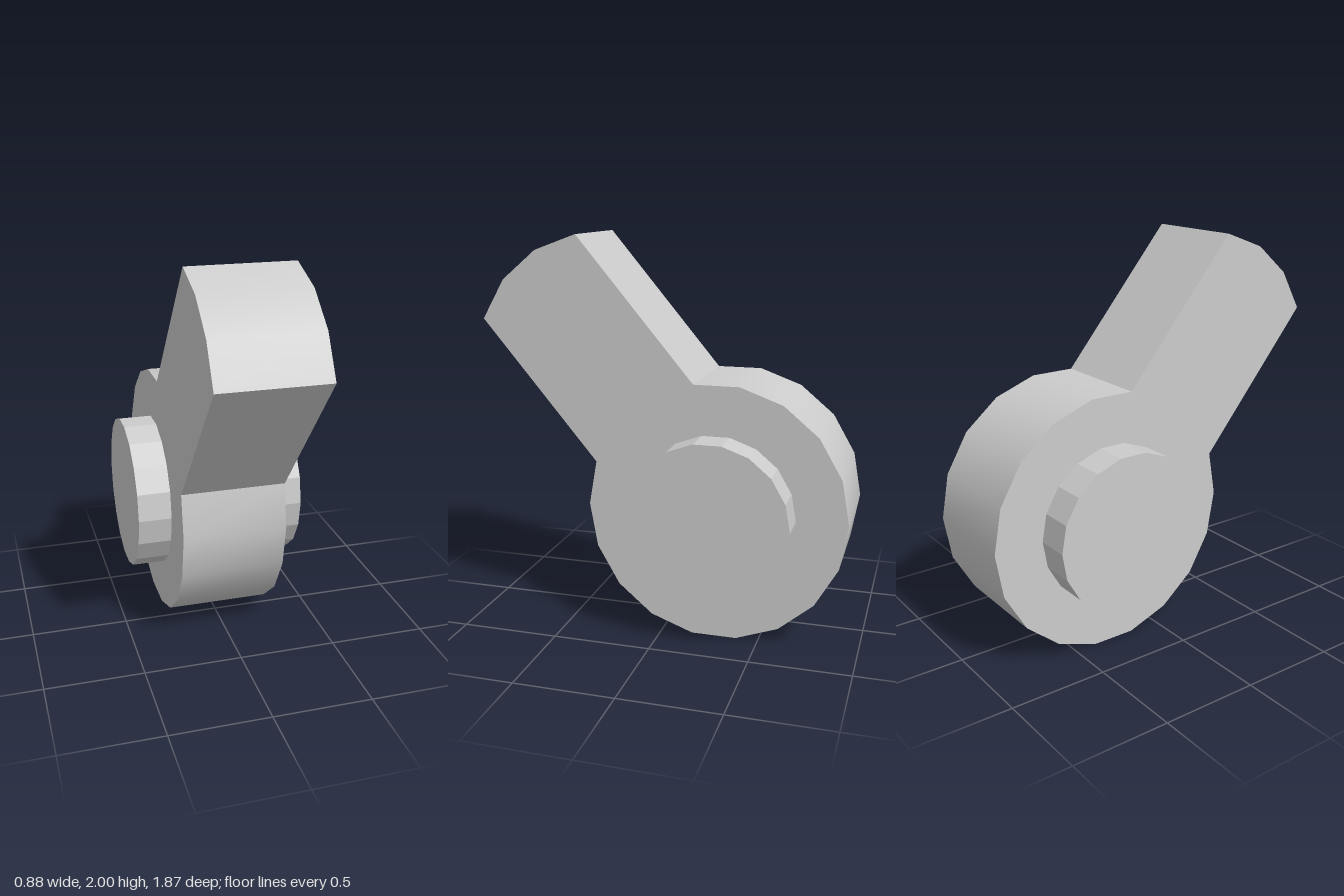
import * as THREE from 'three';
import { toCreasedNormals } from 'three/addons/utils/BufferGeometryUtils.js';

const SEGMENTS = 18;
const STEP = (Math.PI * 2) / SEGMENTS;
const HUB = { z: -0.273, y: 0.648, radius: 0.658 };
const ARM = { angle: THREE.MathUtils.degToRad(50), reach: 0.919 };
const BODY_WIDTH = 0.532;
const PIN_RADIUS = 0.403;
const PIN_LENGTH = 0.875;

// Rim points of the hub circle from step a to step b, slid along the arm by shift
function rimPoints(a, b, shift) {
  const points = [];
  for (let i = a; i <= b; i++) {
    points.push(new THREE.Vector2(
      HUB.z + HUB.radius * Math.cos(i * STEP) + shift * Math.cos(ARM.angle),
      HUB.y + HUB.radius * Math.sin(i * STEP) + shift * Math.sin(ARM.angle)
    ));
  }
  return points;
}

export function createModel() {
  const group = new THREE.Group();
  group.name = 'leverWithPin';
  const smooth = new THREE.MeshStandardMaterial({ color: 0xcccccc });
  const faceted = new THREE.MeshStandardMaterial({ color: 0xcccccc, flatShading: true });

  // Lever: the round hub and the arm with its rounded end, in one outline
  const outline = new THREE.Shape([
    ...rimPoints(4, SEGMENTS + 1, 0),
    ...rimPoints(1, 4, ARM.reach),
  ]);
  const leverGeometry = new THREE.ExtrudeGeometry(outline, { depth: BODY_WIDTH, bevelEnabled: false });
  leverGeometry.translate(0, 0, -BODY_WIDTH / 2);
  leverGeometry.rotateY(-Math.PI / 2);
  const lever = new THREE.Mesh(toCreasedNormals(leverGeometry, Math.PI / 6), smooth);
  lever.name = 'lever';
  group.add(lever);

  // Pivot pin through the hub, showing on both sides
  const pinGeometry = new THREE.CylinderGeometry(PIN_RADIUS, PIN_RADIUS, PIN_LENGTH, SEGMENTS);
  pinGeometry.rotateZ(Math.PI / 2);
  const pin = new THREE.Mesh(pinGeometry, faceted);
  pin.name = 'pivotPin';
  pin.position.set(0, HUB.y, HUB.z);
  group.add(pin);

  return group;
}
